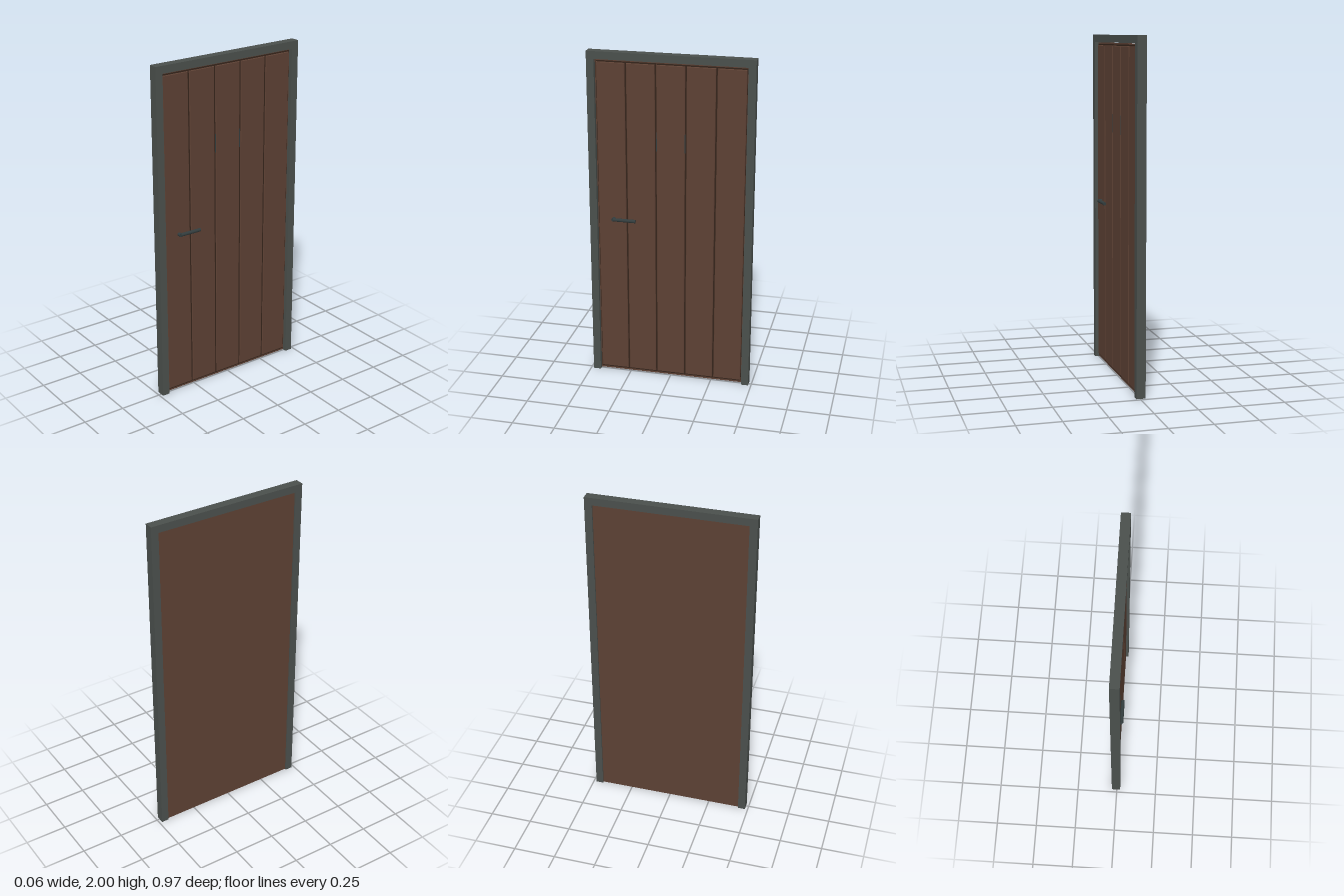
import * as THREE from 'three';

const mat = (name, color) => {
  const m = new THREE.MeshStandardMaterial({ color });
  m.name = name;
  return m;
};

export function createModel() {
  const door = new THREE.Group();
  door.name = 'plankDoor';
  const steel = mat('frameGrey', 0x4a4f4c);
  const wood = mat('brownWood', 0x5c4033);
  const groove = mat('grooveBrown', 0x35241b);
  const metal = mat('handleMetal', 0x323c3d);

  const add = (name, geometry, material) => {
    const mesh = new THREE.Mesh(geometry, material);
    mesh.name = name;
    door.add(mesh);
    return mesh;
  };
  // box given by its limits on each axis
  const box = (name, material, [x0, x1], [y0, y1], [z0, z1]) => {
    const mesh = add(name, new THREE.BoxGeometry(x1 - x0, y1 - y0, z1 - z0), material);
    mesh.position.set((x0 + x1) / 2, (y0 + y1) / 2, (z0 + z1) / 2);
    return mesh;
  };

  // frame: two jambs joined by a lintel, one U-shaped outline
  const HALF = 0.483, INNER = 0.439, LINTEL = 1.956, BACK = -0.032, FRONT = 0.021;
  const outline = new THREE.Shape([
    [-HALF, 0], [-INNER, 0], [-INNER, LINTEL], [INNER, LINTEL],
    [INNER, 0], [HALF, 0], [HALF, 2], [-HALF, 2],
  ].map(([a, b]) => new THREE.Vector2(a, b)));
  const frame = new THREE.ExtrudeGeometry(outline, { depth: FRONT - BACK, bevelEnabled: false });
  frame.rotateY(Math.PI / 2).translate(BACK, 0, 0);
  add('frame', frame, steel);

  // leaf: backing board, dark groove sheet and five bevelled planks
  box('leafBoard', wood, [-0.025, -0.002], [0.004, 1.954], [-0.438, 0.438]);
  box('grooveSheet', groove, [-0.003, -0.001], [0.014, 1.946], [-0.434, 0.434]);

  const PITCH = 0.174, W = 0.165, Y0 = 0.021, Y1 = 1.938, BEVEL = 0.003;
  for (let i = -2; i <= 2; i++) {
    const face = new THREE.Shape();
    const w = W / 2 - BEVEL;
    face.moveTo(-w, Y0 + BEVEL);
    face.lineTo(w, Y0 + BEVEL);
    face.lineTo(w, Y1 - BEVEL);
    face.lineTo(-w, Y1 - BEVEL);
    const plank = new THREE.ExtrudeGeometry(face, {
      depth: 0.003, bevelThickness: BEVEL, bevelSize: BEVEL, bevelSegments: 1,
    });
    plank.rotateY(Math.PI / 2).translate(-0.001, 0, i * PITCH);
    add('plank', plank, wood);
  }

  // inset plate showing only inside the two middle grooves
  box('insetPlate', metal, [-0.002, 0.004], [1.435, 1.545], [-0.086, 0.086]);

  // lever handle: spindle out of the leaf and a horizontal grip
  const spindle = add('handleSpindle', new THREE.CylinderGeometry(0.011, 0.011, 0.025, 16), metal);
  spindle.rotation.z = Math.PI / 2;
  spindle.position.set(0.0135, 1, 0.341);
  const grip = add('handleGrip', new THREE.CylinderGeometry(0.01, 0.01, 0.134, 16), metal);
  grip.rotation.x = Math.PI / 2;
  grip.position.set(0.022, 1, 0.274);

  return door;
}
